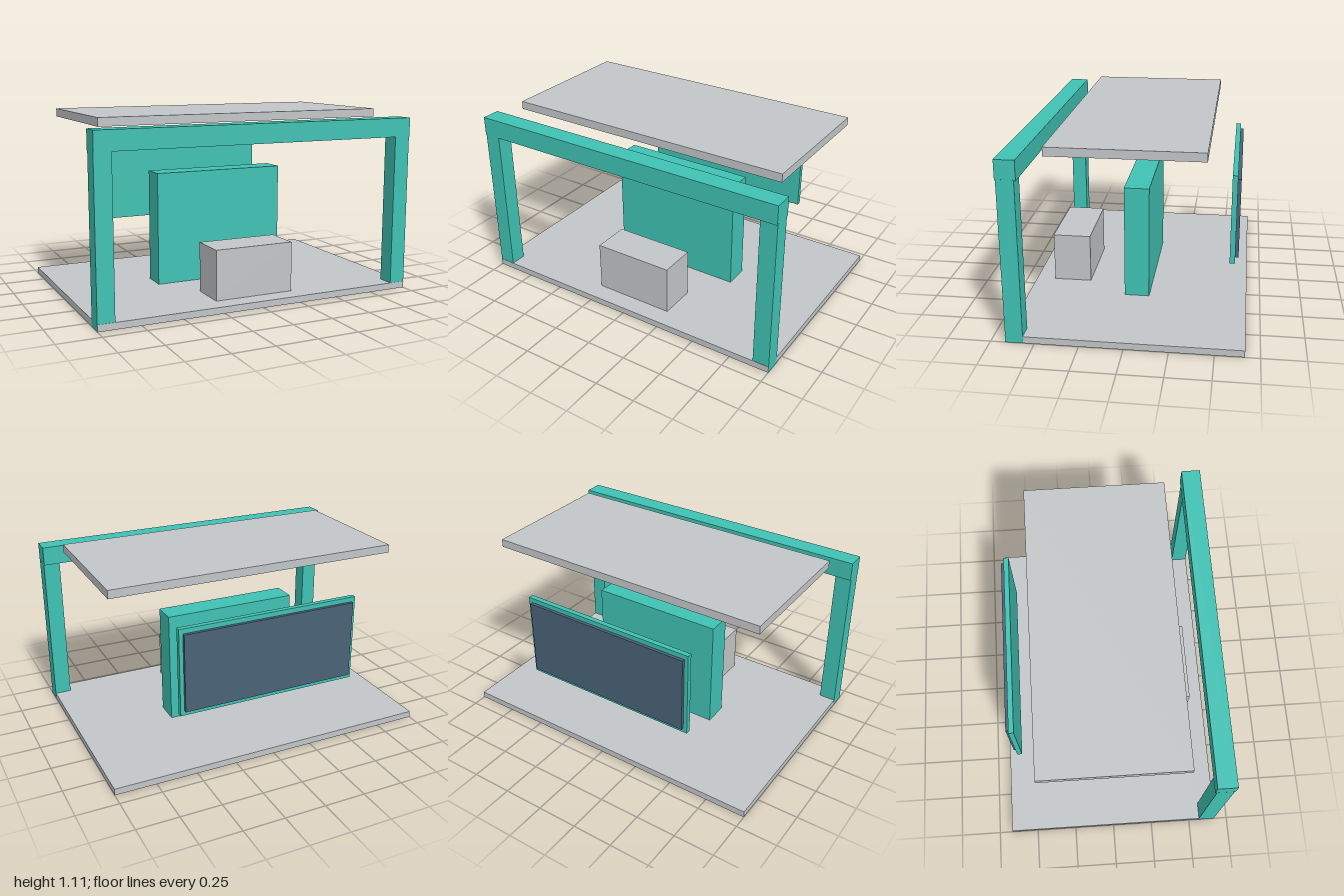
import * as THREE from 'three';

export function createModel() {
  const model = new THREE.Group();
  model.name = 'exhibitionStand';

  const material = (name, color) => {
    const m = new THREE.MeshStandardMaterial({ color });
    m.name = name;
    return m;
  };
  const grey = material('light grey', 0xc3c6c8);
  const teal = material('teal', 0x40c2b4);
  const slate = material('slate blue', 0x4a6378);

  // Box given by its [min, max] extent on each axis
  const box = (name, mat, [x0, x1], [y0, y1], [z0, z1]) => {
    const mesh = new THREE.Mesh(new THREE.BoxGeometry(x1 - x0, y1 - y0, z1 - z0), mat);
    mesh.position.set((x0 + x1) / 2, (y0 + y1) / 2, (z0 + z1) / 2);
    mesh.name = name;
    model.add(mesh);
  };

  // Floor and floating canopy
  box('floor', grey, [-1, 1], [0, 0.04], [-0.666, 0.666]);
  box('canopy', grey, [-0.9, 0.9], [1.064, 1.114], [-0.433, 0.433]);

  // Front gateway: two posts let into the floor and a beam across them
  box('rightPost', teal, [-1.0005, -0.9], [-0.0005, 0.96], [0.564, 0.664]);
  box('leftPost', teal, [0.9, 1.0005], [-0.0005, 0.96], [0.564, 0.664]);
  box('beam', teal, [-1, 1], [0.955, 1.069], [0.554, 0.669]);

  // Central wall, let through the floor, and the counter before it
  box('centralWall', teal, [-0.42, 0.42], [-0.0005, 0.735], [-0.075, 0.075]);
  box('counter', grey, [-0.25, 0.25], [0.04, 0.342], [0.318, 0.549]);

  // Rear display: backing panel with a screen facing the back
  box('displayPanel', teal, [-0.565, 0.565], [0.353, 0.886], [-0.59, -0.559]);
  box('screen', slate, [-0.541, 0.541], [0.382, 0.857], [-0.609, -0.59]);

  return model;
}
